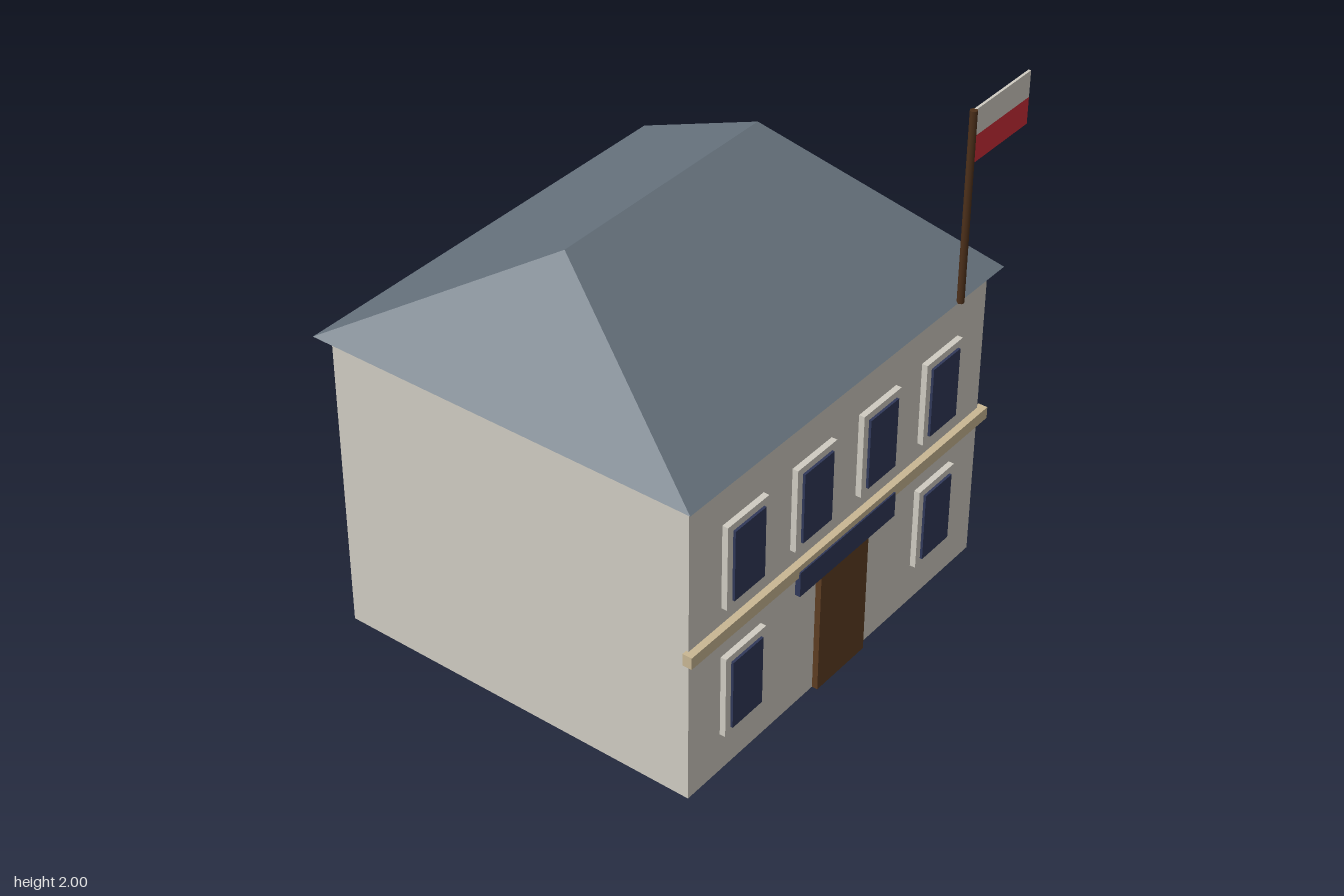
import * as THREE from 'three';

const mat = (name, color) => {
  const m = new THREE.MeshStandardMaterial({ color });
  m.name = name;
  return m;
};

export function createModel() {
  const house = new THREE.Group();
  house.name = 'townHouse';

  const plaster = mat('plaster', 0xd0ccc2);
  const slate = mat('slate', 0x67737e);
  const navy = mat('navy', 0x303859);
  const doorWood = mat('doorWood', 0x5d3d22);
  const poleWood = mat('poleWood', 0x4d301a);
  const sandstone = mat('sandstone', 0xc9b794);
  const red = mat('red', 0xcc2e38);

  // Box given by its min and max on each axis
  const box = (name, material, [x0, x1], [y0, y1], [z0, z1], parent = house) => {
    const mesh = new THREE.Mesh(new THREE.BoxGeometry(x1 - x0, y1 - y0, z1 - z0), material);
    mesh.position.set((x0 + x1) / 2, (y0 + y1) / 2, (z0 + z1) / 2);
    mesh.name = name;
    parent.add(mesh);
    return mesh;
  };

  box('walls', plaster, [-0.89, 0.822], [0, 1.243], [-0.77, 0.757]);

  // Hipped roof: a box whose top edges are drawn in to a ridge
  const roofW = 1.803, ridgeW = 1.048, roofD = 1.608, roofH = 0.472;
  let roofGeo = new THREE.BoxGeometry(roofW, roofH, roofD);
  const p = roofGeo.attributes.position;
  for (let i = 0; i < p.count; i++) {
    if (p.getY(i) > 0) {
      p.setX(i, Math.sign(p.getX(i)) * ridgeW / 2);
      p.setZ(i, 0);
    }
  }
  roofGeo = roofGeo.toNonIndexed();
  roofGeo.computeVertexNormals();
  const roof = new THREE.Mesh(roofGeo, slate);
  roof.name = 'roof';
  roof.position.set(-0.034, 1.244 + roofH / 2, -0.008);
  house.add(roof);

  // Windows: raised surround with a pane in front
  const addWindow = (x, y) => {
    const win = new THREE.Group();
    win.name = 'window';
    win.position.set(x, y, 0);
    box('windowSurround', plaster, [-0.111, 0.111], [-0.17, 0.17], [0.75, 0.78], win);
    box('windowPane', navy, [-0.083, 0.083], [-0.143, 0.143], [0.779, 0.79], win);
    house.add(win);
  };
  const columns = [-0.605, -0.224, 0.157, 0.538];
  columns.forEach((x) => addWindow(x, 0.884));
  [columns[0], columns[3]].forEach((x) => addWindow(x, 0.334));

  // Front entrance, ledge and sign board
  box('door', doorWood, [-0.175, 0.107], [0, 0.504], [0.75, 0.78]);
  box('ledge', sandstone, [-0.91, 0.847], [0.597, 0.645], [0.747, 0.785]);
  box('signBoard', navy, [-0.317, 0.25], [0.517, 0.62], [0.77, 0.791]);

  // Flagpole at the front eave
  const pole = new THREE.Mesh(new THREE.CylinderGeometry(0.014, 0.014, 0.756, 8), poleWood);
  pole.name = 'flagpole';
  pole.position.set(0.585, 1.622, 0.798);
  house.add(pole);

  // Two-band flag
  box('flagUpperBand', plaster, [0.595, 0.931], [1.898, 2], [0.793, 0.803]);
  box('flagLowerBand', red, [0.595, 0.931], [1.794, 1.898], [0.793, 0.803]);

  return house;
}
